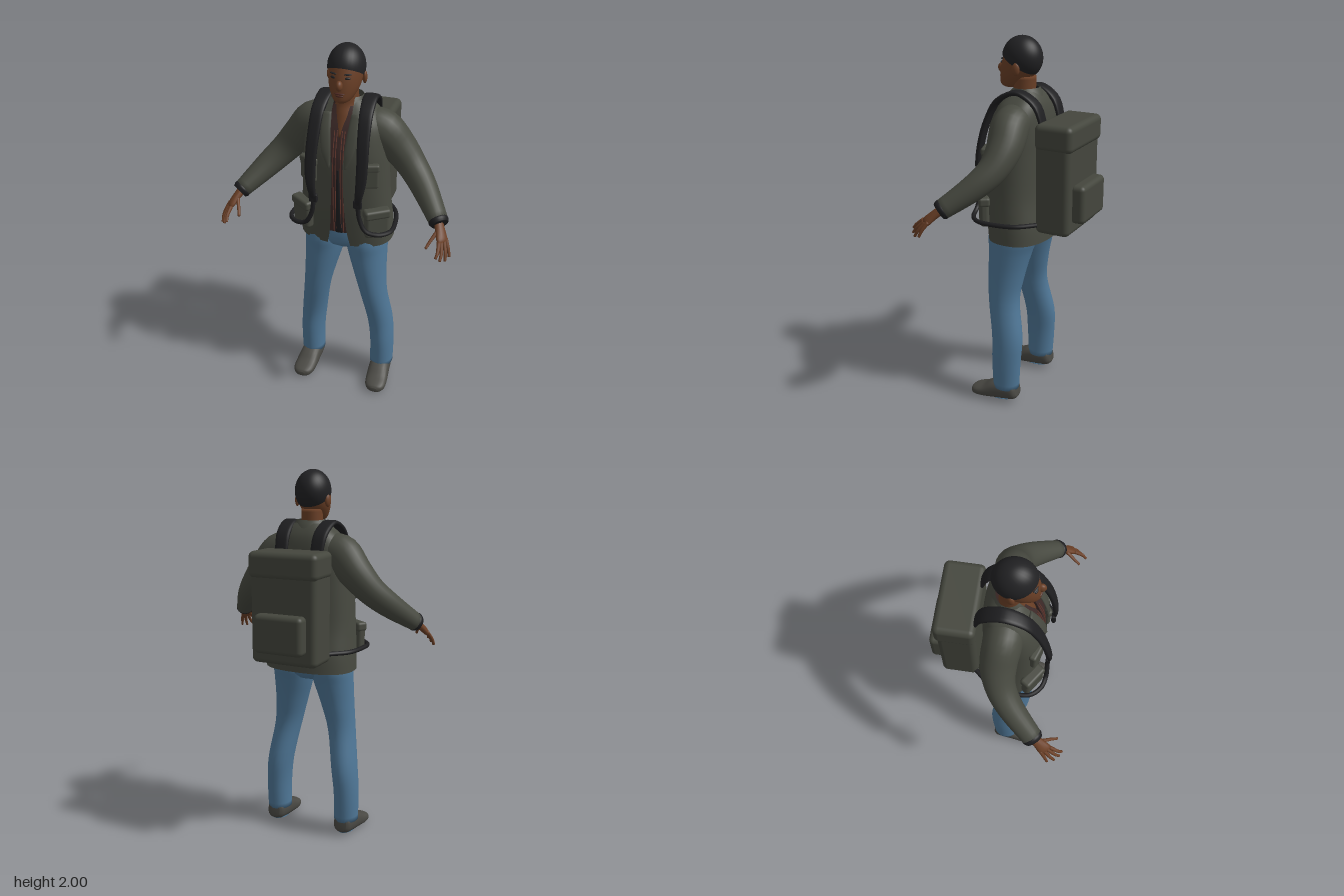
import * as THREE from 'three';
import { RoundedBoxGeometry } from 'three/addons/geometries/RoundedBoxGeometry.js';

const mat = (name, color, side = THREE.FrontSide) => {
  const m = new THREE.MeshStandardMaterial({ color, side });
  m.name = name;
  return m;
};
const M = {
  jacket: mat('olive jacket', 0x474940, THREE.DoubleSide),
  pack: mat('olive pack', 0x44463d),
  denim: mat('blue denim', 0x4f7797),
  skin: mat('brown skin', 0x6a3f26),
  hair: mat('black hair', 0x212123),
  strap: mat('black webbing', 0x1e1e20),
  shoe: mat('grey shoe', 0x494843),
  shirt: mat('dark shirt', 0x3d2a28, THREE.DoubleSide),
  stripe: mat('red stripe', 0x67392f),
  lip: mat('dark lip', 0x4c2821),
};

// Catmull-Rom interpolation of every column of a table of sections
function smooth(rows, steps) {
  const out = [];
  const at = (i) => rows[Math.min(rows.length - 1, Math.max(0, i))];
  for (let i = 0; i < rows.length - 1; i++) {
    for (let k = 0; k < steps; k++) {
      const t = k / steps;
      out.push(rows[i].map((p1, c) => {
        const p0 = at(i - 1)[c], p2 = at(i + 1)[c], p3 = at(i + 2)[c];
        return p1 + 0.5 * t * (p2 - p0 + t * (2 * p0 - 5 * p1 + 4 * p2 - p3 + t * (3 * (p1 - p2) + p3 - p0)));
      }));
    }
  }
  out.push(rows[rows.length - 1]);
  return out;
}

// Loft of sections [x, y, z, half width, half depth, front gap].
// Without "side" the sections are level; with it they follow the path.
function loft(rows, { side = null, power = 2, segs = 24, steps = 4, open = false } = {}) {
  const R = smooth(rows, steps), pos = [], idx = [];
  const C = R.map((r) => new THREE.Vector3(r[0], r[1], r[2]));
  const n = open ? segs + 1 : segs;
  const bend = (v) => Math.sign(v) * Math.abs(v) ** (2 / power);
  R.forEach((r, i) => {
    const T = new THREE.Vector3(0, 1, 0), U = new THREE.Vector3(1, 0, 0);
    if (side) {
      T.subVectors(C[Math.min(i + 1, C.length - 1)], C[Math.max(i - 1, 0)]).normalize();
      U.set(...side).addScaledVector(T, -T.dot(U.clone().set(...side))).normalize();
    }
    const V = new THREE.Vector3().crossVectors(U, T);
    const t0 = open ? Math.asin((Math.max(0, r[5]) / r[3]) ** (power / 2)) : 0;
    for (let j = 0; j < n; j++) {
      const t = t0 + (2 * Math.PI - 2 * t0) * j / segs;
      const p = C[i].clone().addScaledVector(U, r[3] * bend(Math.sin(t))).addScaledVector(V, r[4] * bend(Math.cos(t)));
      pos.push(p.x, p.y, p.z);
    }
  });
  for (let i = 0; i < R.length - 1; i++) {
    for (let j = 0; j < segs; j++) {
      const k = (j + 1) % n, a = i * n + j, b = i * n + k;
      idx.push(a, b, b + n, a, b + n, a + n);
    }
  }
  if (!open) {
    const last = R.length - 1, c0 = R.length * n;
    pos.push(...C[0].toArray(), ...C[last].toArray());
    for (let j = 0; j < n; j++) {
      const k = (j + 1) % n;
      idx.push(c0, k, j, c0 + 1, last * n + j, last * n + k);
    }
  }
  const g = new THREE.BufferGeometry();
  g.setAttribute('position', new THREE.Float32BufferAttribute(pos, 3));
  g.setIndex(idx);
  g.computeVertexNormals();
  return g;
}

// Level section from height, front z, back z, half width and front gap
const ring = ([y, f, b, rx, gap = 0]) => [0, y, (f + b) / 2, rx, (f - b) / 2, gap];

export function createModel() {
  const model = new THREE.Group();
  model.name = 'hiker';
  const add = (name, geo, material, p = [0, 0, 0], ry = 0, sc = [1, 1, 1]) => {
    const m = new THREE.Mesh(geo, material);
    m.name = name;
    m.position.set(...p);
    m.rotation.y = ry;
    m.scale.set(...sc);
    model.add(m);
    return m;
  };
  const ball = new THREE.SphereGeometry(1, 20, 14);
  const box = (w, h, d, r) => new RoundedBoxGeometry(w, h, d, 4, r);

  // Head, neck and close-cropped hair
  add('head', loft([
    [1.738, 0.145, 0.075, 0.025], [1.755, 0.165, 0.04, 0.047], [1.8, 0.165, -0.015, 0.072], [1.85, 0.158, -0.046, 0.083],
    [1.9, 0.143, -0.055, 0.084], [1.94, 0.127, -0.045, 0.075], [1.975, 0.1, -0.015, 0.05], [1.985, 0.07, 0.02, 0.02],
  ].map(ring)), M.skin);
  add('neck', loft([
    [1.56, 0.15, 0, 0.06], [1.66, 0.115, -0.03, 0.062], [1.72, 0.09, -0.027, 0.057], [1.8, 0.09, -0.03, 0.055],
  ].map(ring)), M.skin);
  const cap = new THREE.SphereGeometry(1, 32, 20, 0, Math.PI * 2, 0, 1.87).rotateX(-0.52);
  add('hair', cap, M.hair, [0, 1.89, 0.043], 0, [0.092, 0.11, 0.107]);
  add('nose', ball, M.skin, [0, 1.832, 0.162], 0, [0.017, 0.026, 0.023]);
  add('upperLip', ball, M.lip, [0, 1.793, 0.157], 0, [0.027, 0.006, 0.013]);
  add('lowerLip', ball, M.lip, [0, 1.782, 0.156], 0, [0.024, 0.007, 0.013]);

  // Torso: hips, shirt and open jacket
  add('hips', loft([
    [0.9, 0.12, -0.04, 0.09], [0.94, 0.165, -0.08, 0.19], [1, 0.175, -0.1, 0.215], [1.08, 0.17, -0.09, 0.2],
  ].map(ring)), M.denim);
  const front = [[1.03, 0.181], [1.2, 0.193], [1.4, 0.193], [1.5, 0.183], [1.6, 0.153]];
  add('shirt', loft([
    [1.03, 0.181, -0.1, 0.21], [1.2, 0.193, -0.09, 0.21], [1.4, 0.193, -0.09, 0.2], [1.5, 0.183, -0.09, 0.19],
    [1.6, 0.153, -0.08, 0.16, 0.008], [1.66, 0.125, -0.07, 0.12, 0.025], [1.71, 0.102, -0.045, 0.08, 0.035],
  ].map(ring), { power: 2.5, open: true, segs: 40 }), M.shirt);
  for (const x of [-0.026, -0.013, 0.013, 0.026]) {
    add('shirtStripe', loft(front.map(([y, z]) => [x, y, z + 0.001, 0.0022, 0.003]), { side: [1, 0, 0], segs: 8 }), M.stripe);
  }
  add('undershirt', loft(front.slice(0, 3).map(([y, z], i) => [0, y, z + 0.001, 0.02 - i * 0.007, 0.004]),
    { side: [1, 0, 0], segs: 8 }), M.strap);
  add('jacket', loft([
    [0.958, 0.187, -0.142, 0.25, 0.062], [1.05, 0.196, -0.135, 0.245, 0.045], [1.2, 0.206, -0.11, 0.232, 0.035],
    [1.4, 0.206, -0.105, 0.22, 0.028], [1.5, 0.196, -0.105, 0.213, 0.036], [1.6, 0.168, -0.1, 0.2, 0.05],
    [1.66, 0.138, -0.09, 0.168, 0.052], [1.7, 0.112, -0.072, 0.125, 0.052], [1.73, 0.09, -0.05, 0.085, 0.05],
  ].map(ring), { power: 2.5, open: true, segs: 48, steps: 5 }), M.jacket);
  add('collar', loft([
    [1.675, 0.128, -0.082, 0.115, 0.06], [1.72, 0.108, -0.062, 0.09, 0.052], [1.745, 0.085, -0.045, 0.078, 0.05],
  ].map(ring), { open: true, segs: 32 }), M.jacket);

  // Backpack with lid and outer pocket
  add('packBody', box(0.37, 0.5, 0.19, 0.03), M.pack, [0, 1.283, -0.215]);
  add('packLid', box(0.385, 0.135, 0.205, 0.03), M.pack, [0, 1.538, -0.22]);
  add('packPocket', box(0.27, 0.2, 0.08, 0.025), M.pack, [0, 1.2, -0.333]);

  // Paired parts, mirrored by the sign s
  for (const s of [1, -1]) {
    const flip = (rows) => rows.map(([x, ...rest]) => [x * s, ...rest]);

    add('eye', ball, M.hair, [s * 0.035, 1.866, 0.142], s * 0.3, [0.015, 0.006, 0.007]);
    add('eyebrow', ball, M.hair, [s * 0.036, 1.884, 0.138], s * 0.35, [0.02, 0.004, 0.008]);
    add('ear', ball, M.skin, [s * 0.088, 1.842, 0.035], s * 0.3, [0.012, 0.032, 0.02]);

    add('trouserLeg', loft(flip([
      [0.21, 0.09, 0.04, 0.066, 0.074], [0.21, 0.25, 0.038, 0.067, 0.083], [0.197, 0.4, 0.038, 0.07, 0.088],
      [0.165, 0.6, 0.072, 0.074, 0.088], [0.14, 0.75, 0.069, 0.089, 0.103], [0.12, 0.88, 0.055, 0.107, 0.12],
      [0.113, 0.96, 0.045, 0.112, 0.135], [0.11, 1.05, 0.04, 0.1, 0.125],
    ])), M.denim);
    add('shoe', loft(flip([
      [0.21, 0.075, -0.032, 0.03, 0.03], [0.21, 0.073, -0.015, 0.05, 0.048], [0.21, 0.07, 0.04, 0.058, 0.055],
      [0.213, 0.06, 0.1, 0.06, 0.052], [0.217, 0.041, 0.16, 0.062, 0.037], [0.221, 0.032, 0.21, 0.058, 0.029],
      [0.222, 0.028, 0.238, 0.042, 0.022], [0.222, 0.028, 0.25, 0.018, 0.012],
    ]), { side: [1, 0, 0], power: 2.5 }), M.shoe);
    add('solePatch', loft(flip([
      [0.21, 0.023, -0.012, 0.02, 0.004], [0.21, 0.014, 0.04, 0.034, 0.004], [0.213, 0.007, 0.1, 0.03, 0.004],
    ]), { side: [1, 0, 0], segs: 12 }), M.denim);

    // Sleeve, cuff and hand
    add('sleeve', loft(flip([
      [0.1, 1.6, 0.02, 0.09, 0.085], [0.18, 1.57, 0.015, 0.095, 0.102], [0.26, 1.485, 0.005, 0.09, 0.09],
      [0.34, 1.395, 0.025, 0.076, 0.076], [0.42, 1.315, 0.088, 0.066, 0.066], [0.525, 1.212, 0.212, 0.053, 0.046],
    ]), { side: [0, 0, 1] }), M.jacket);
    add('cuff', loft(flip([
      [0.514, 1.222, 0.2, 0.05, 0.044], [0.522, 1.215, 0.209, 0.055, 0.049], [0.532, 1.205, 0.221, 0.047, 0.041],
    ]), { side: [0, 0, 1] }), M.strap);
    add('palm', loft(flip([
      [0.52, 1.215, 0.21, 0.025, 0.022], [0.54, 1.185, 0.245, 0.028, 0.019], [0.557, 1.155, 0.277, 0.034, 0.016],
      [0.562, 1.143, 0.286, 0.028, 0.01],
    ]), { side: [-0.45 * s, 0, 0.9], segs: 16 }), M.skin);
    const fingers = [
      [[0.572, 1.155, 0.26], [0.592, 1.115, 0.285], [0.602, 1.08, 0.3]],
      [[0.566, 1.15, 0.276], [0.584, 1.108, 0.312], [0.588, 1.073, 0.334]],
      [[0.556, 1.15, 0.292], [0.568, 1.112, 0.332], [0.566, 1.083, 0.358]],
      [[0.547, 1.155, 0.304], [0.552, 1.122, 0.346], [0.546, 1.1, 0.368]],
      [[0.532, 1.19, 0.25], [0.508, 1.158, 0.296], [0.49, 1.128, 0.336]],
    ];
    for (const f of fingers) {
      add('finger', loft(flip(f.map((p, i) => [...p, 0.0105 - i * 0.002, 0.0105 - i * 0.002])),
        { side: [-0.45 * s, 0, 0.9], segs: 10 }), M.skin);
    }

    // Lapel and jacket pockets
    add('lapel', loft(flip([
      [0.042, 1.42, 0.207, 0.005, 0.006], [0.058, 1.5, 0.199, 0.024, 0.007], [0.07, 1.6, 0.168, 0.027, 0.008],
      [0.074, 1.68, 0.126, 0.024, 0.008],
    ]), { side: [1, 0, 0], segs: 12 }), M.jacket);
    add('hipPocket', box(0.13, 0.15, 0.05, 0.02), M.jacket, [s * 0.198, 1.115, 0.17], s * 0.6);
    add('hipPocketFlap', box(0.138, 0.05, 0.06, 0.015), M.jacket, [s * 0.198, 1.175, 0.17], s * 0.6);
    add('chestPocket', box(0.1, 0.12, 0.03, 0.012), M.jacket, [s * 0.155, 1.38, 0.178], s * 0.35);
    add('chestPocketFlap', box(0.106, 0.04, 0.038, 0.012), M.jacket, [s * 0.155, 1.43, 0.176], s * 0.35);

    // Shoulder strap, buckle and waist webbing
    add('shoulderStrap', loft(flip([
      [0.1, 1.57, -0.13, 0.034, 0.01], [0.105, 1.67, -0.095, 0.038, 0.013], [0.112, 1.727, -0.02, 0.038, 0.013],
      [0.116, 1.728, 0.045, 0.037, 0.013], [0.122, 1.68, 0.125, 0.034, 0.013], [0.127, 1.58, 0.18, 0.031, 0.013],
      [0.132, 1.48, 0.212, 0.029, 0.013], [0.132, 1.38, 0.232, 0.027, 0.013], [0.124, 1.3, 0.242, 0.02, 0.012],
      [0.116, 1.24, 0.237, 0.012, 0.008],
    ]), { side: [1, 0, 0], power: 3, segs: 20 }), M.strap);
    add('buckle', box(0.044, 0.045, 0.022, 0.006), M.strap, [s * 0.117, 1.25, 0.236]);
    const path = flip([
      [0.117, 1.25, 0.236], [0.125, 1.17, 0.236], [0.16, 1.1, 0.238], [0.22, 1.08, 0.222], [0.27, 1.075, 0.165],
      [0.27, 1.072, 0.06], [0.245, 1.072, -0.04], [0.17, 1.075, -0.135],
    ]).map((p) => new THREE.Vector3(...p));
    add('waistWebbing', new THREE.TubeGeometry(new THREE.CatmullRomCurve3(path), 48, 0.012, 8), M.strap);
  }
  return model;
}
